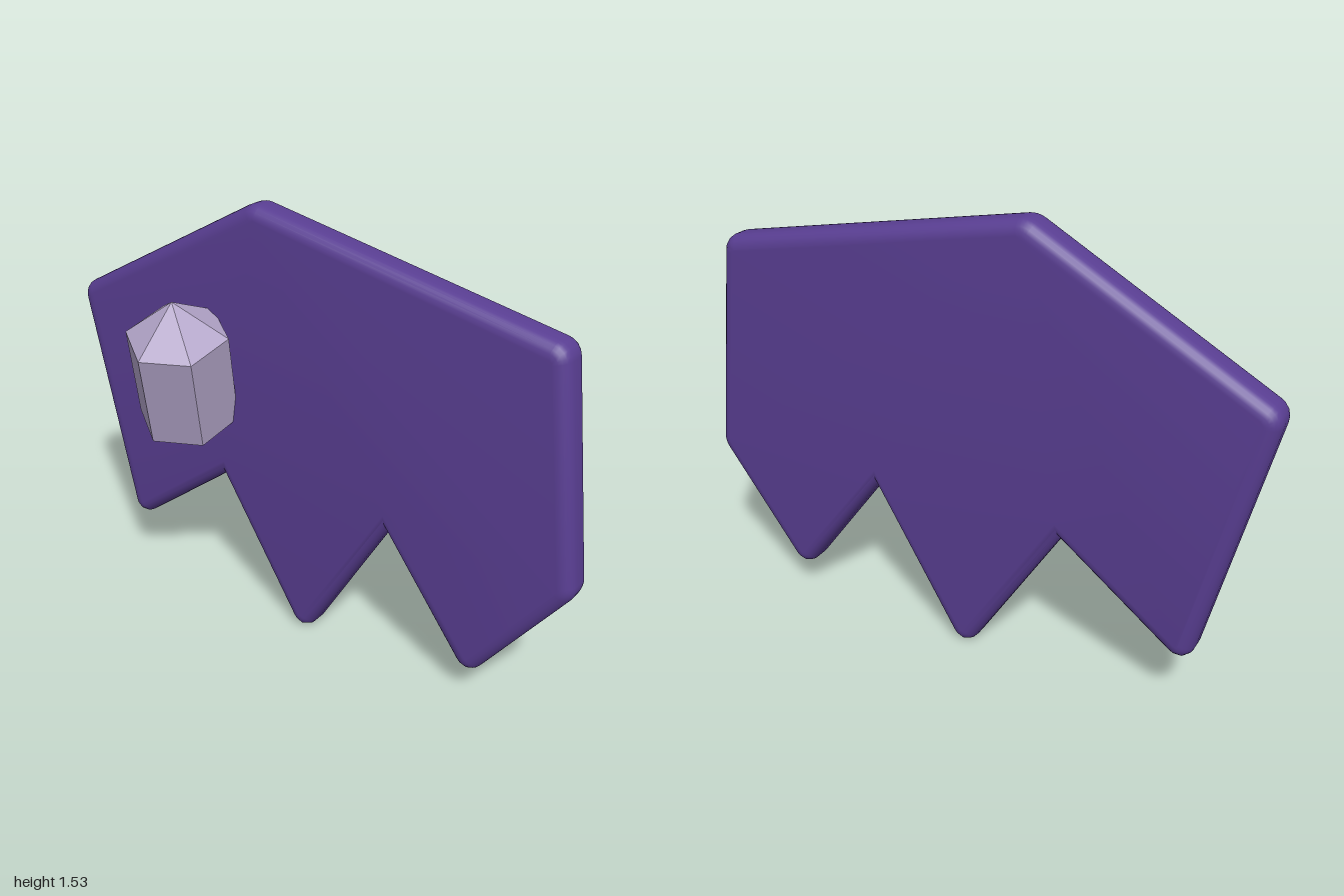
import * as THREE from 'three';
import { toCreasedNormals } from 'three/addons/utils/BufferGeometryUtils.js';

const BEVEL = 0.045;

// Polygon with tiny rounded outer corners; notch corners stay sharp
function outline(corners, cut) {
  const pts = corners.map(([x, y]) => new THREE.Vector2(x, y));
  const shape = new THREE.Shape();
  pts.forEach((p, i) => {
    const prev = pts[(i + pts.length - 1) % pts.length];
    const next = pts[(i + 1) % pts.length];
    const toPrev = prev.clone().sub(p).normalize();
    const toNext = next.clone().sub(p).normalize();
    const line = (q) => (i === 0 && !shape.curves.length ? shape.moveTo(q.x, q.y) : shape.lineTo(q.x, q.y));
    if (toPrev.cross(toNext) > 0) {
      line(p); // notch
      return;
    }
    const a = p.clone().addScaledVector(toPrev, cut);
    const b = p.clone().addScaledVector(toNext, cut);
    line(a);
    shape.quadraticCurveTo(p.x, p.y, b.x, b.y);
  });
  shape.closePath();
  return shape;
}

// Flat jagged slab with a rounded rim
function makeSlab() {
  const shape = outline([
    [-0.955, 1.085], [-0.765, 0.268], [-0.34, 0.59], [0, 0.053], [0.33, 0.6],
    [0.667, 0.162], [0.953, 0.55], [0.853, 1.283], [-0.21, 1.495],
  ], 0.014);
  const geometry = new THREE.ExtrudeGeometry(shape, {
    depth: 0.04, bevelEnabled: true, bevelThickness: BEVEL, bevelSize: BEVEL,
    bevelSegments: 5, curveSegments: 4,
  });
  geometry.translate(0, 0, -0.175);
  const mesh = new THREE.Mesh(
    toCreasedNormals(geometry, 0.7),
    new THREE.MeshStandardMaterial({ color: 0x593e92 }),
  );
  mesh.name = 'jaggedSlab';
  return mesh;
}

// Six-sided crystal with a pointed cap, leaning out of the slab
function makeCrystal() {
  const profile = [[0, 0], [0.178, 0], [0.178, 0.35], [0, 0.486]].map(([r, y]) => new THREE.Vector2(r, y));
  const geometry = new THREE.LatheGeometry(profile, 6, -0.085);
  const mesh = new THREE.Mesh(
    geometry,
    new THREE.MeshStandardMaterial({ color: 0xb3a5c9, flatShading: true }),
  );
  mesh.position.set(-0.452, 0.765, -0.04);
  const axis = new THREE.Vector3(0.04, 0.335, 0.09).normalize();
  mesh.quaternion.setFromUnitVectors(new THREE.Vector3(0, 1, 0), axis);
  mesh.name = 'crystal';
  return mesh;
}

export function createModel() {
  const model = new THREE.Group();
  model.name = 'crystalSlab';
  model.add(makeSlab(), makeCrystal());
  return model;
}
